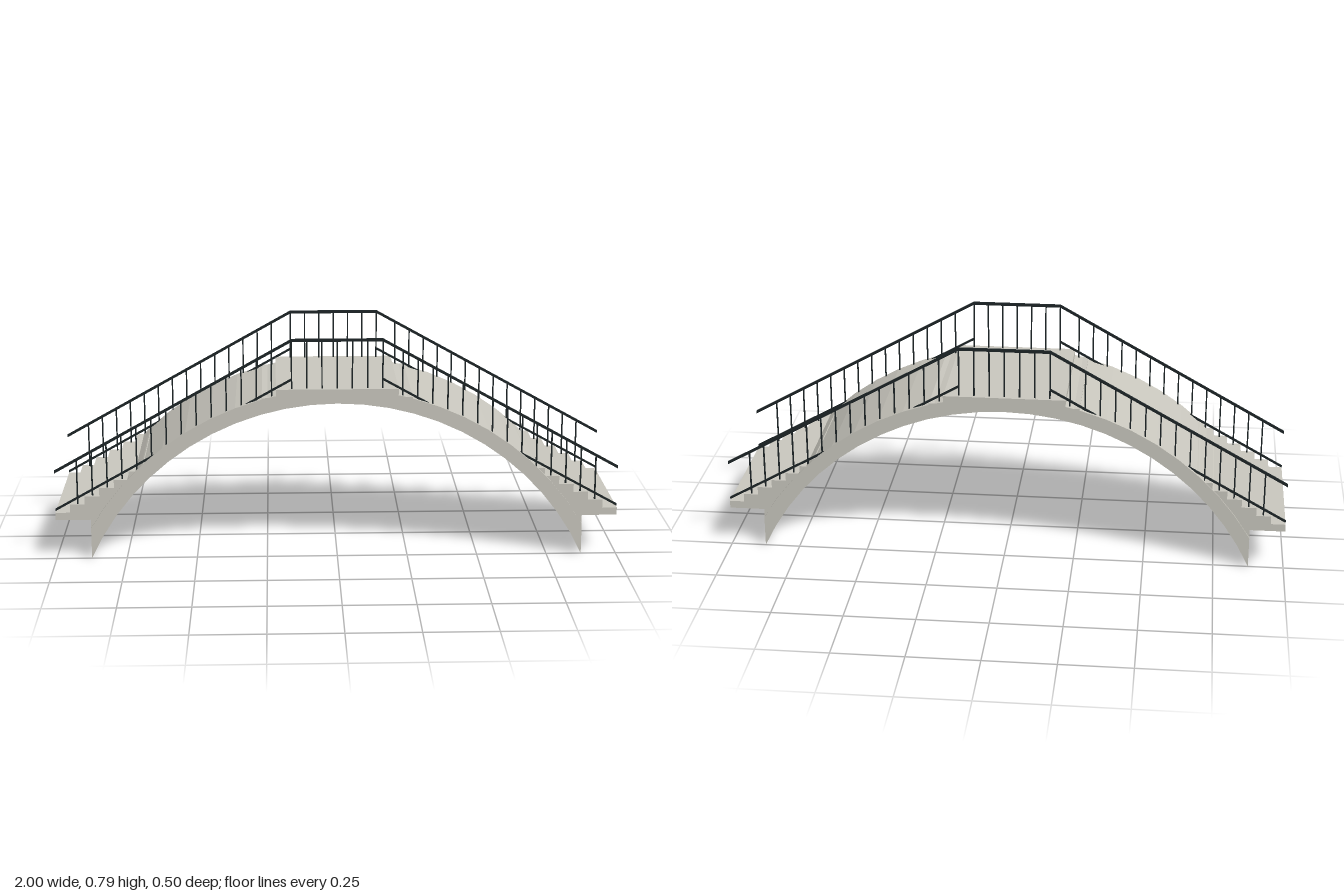
import * as THREE from 'three';

const R_IN = 0.9615, R_OUT = 1.013, CY = -0.398; // arch circles share one centre
const HALF_W = 0.25, FOOT_X = 0.875, RAIL_Z = 0.235;
const TREAD = 0.0525, RISE = 0.03, FIRST = 0.17, STEPS = 6;
const DECK_Y = 0.615, DECK_X = 0.215;

const arcY = (r, x) => CY + Math.sqrt(r * r - x * x);

// Extrude an x/y outline symmetrically about z = 0
function slab(points, width) {
  const shape = new THREE.Shape(points.map(([x, y]) => new THREE.Vector2(x, y)));
  const geo = new THREE.ExtrudeGeometry(shape, { depth: width, bevelEnabled: false });
  return geo.translate(0, 0, -width / 2);
}

// Bar of constant height following a polyline, with mitred corners
function bar(points, height, width) {
  const h = height / 2;
  return slab([
    ...points.map(([x, y]) => [x, y - h]),
    ...points.slice().reverse().map(([x, y]) => [x, y + h]),
  ], width);
}

// Height of the walking surface at x
function surfaceY(x) {
  const a = Math.abs(x);
  if (a <= DECK_X) return DECK_Y;
  if (a > 0.685) return FIRST + RISE * Math.floor((1 - a) / TREAD);
  return arcY(R_OUT, a);
}

// Height of the handrail at x
function railY(x) {
  const a = Math.abs(x);
  return a <= 0.16 ? 0.788 : 0.788 - (a - 0.16) * (0.47 / 0.84);
}

function archOutline() {
  const pts = [];
  // underside, from the left foot to the right foot
  const inner = Math.asin(FOOT_X / R_IN), n = 24;
  for (let i = 0; i <= n; i++) {
    const t = -inner + (2 * inner * i) / n;
    pts.push([R_IN * Math.sin(t), Math.max(0, CY + R_IN * Math.cos(t))]);
  }
  // right half of the top, ending in a shallow step and the flat crown
  const right = [];
  const start = Math.asin(FOOT_X / R_OUT), end = Math.asin(0.265 / R_OUT);
  for (let i = 0; i <= 8; i++) {
    const t = start + ((end - start) * i) / 8;
    right.push([R_OUT * Math.sin(t), CY + R_OUT * Math.cos(t)]);
  }
  right.push([0.265, 0.585], [0.245, 0.585], [DECK_X, arcY(R_OUT, DECK_X)], [DECK_X, DECK_Y]);
  return [...pts, ...right, ...right.slice().reverse().map(([x, y]) => [-x, y])];
}

function stairOutline(side) {
  const pts = [[FOOT_X, 0.056], [FOOT_X, 0.143], [1, 0.143]];
  for (let i = 0; i < STEPS; i++) {
    const y = FIRST + RISE * i;
    pts.push([1 - TREAD * i, y], [1 - TREAD * (i + 1), y]);
  }
  pts.push([1 - TREAD * STEPS, 0.35], [0.68, 0.35], [0.68, 0.316]);
  return pts.map(([x, y]) => [x * side, y]);
}

export function createModel() {
  const stone = new THREE.MeshStandardMaterial({ color: 0xc9c7be });
  stone.name = 'pale stone';
  const iron = new THREE.MeshStandardMaterial({ color: 0x1c2426 });
  iron.name = 'dark iron';

  const model = new THREE.Group();
  model.name = 'footbridge';
  const add = (parent, name, geo, mat) => {
    const mesh = new THREE.Mesh(geo, mat);
    mesh.name = name;
    parent.add(mesh);
    return mesh;
  };

  add(model, 'arch', slab(archOutline(), HALF_W * 2), stone);

  // stairs at both ends, slightly narrower than the arch
  for (const side of [1, -1]) {
    add(model, side > 0 ? 'leftStairs' : 'rightStairs', slab(stairOutline(side), 0.49), stone);
  }

  // baluster positions: crown first, then both slopes
  const xs = [];
  for (let i = -3; i <= 3; i++) xs.push(i * 0.0533);
  for (let i = 0; i < 14; i++) xs.push(0.23 + i * 0.0531, -0.23 - i * 0.0531);

  // one railing on each side of the walkway
  for (const face of [1, -1]) {
    const railing = new THREE.Group();
    railing.name = face > 0 ? 'frontRailing' : 'backRailing';
    railing.position.z = face * RAIL_Z;
    model.add(railing);

    const top = [-1, -0.16, 0.16, 1].map((x) => [x, railY(x)]);
    add(railing, 'handrail', bar(top, 0.01, 0.008), iron);
    add(railing, 'leftLowerRail', bar([[0.16, 0.648], [1, 0.178]], 0.008, 0.007), iron);
    add(railing, 'rightLowerRail', bar([[-1, 0.178], [-0.16, 0.648]], 0.008, 0.007), iron);

    for (const x of xs) {
      const low = surfaceY(x) - 0.005, high = railY(x);
      const post = add(railing, 'baluster', new THREE.BoxGeometry(0.005, high - low, 0.005), iron);
      post.position.set(x, (low + high) / 2, 0);
    }
  }
  return model;
}
